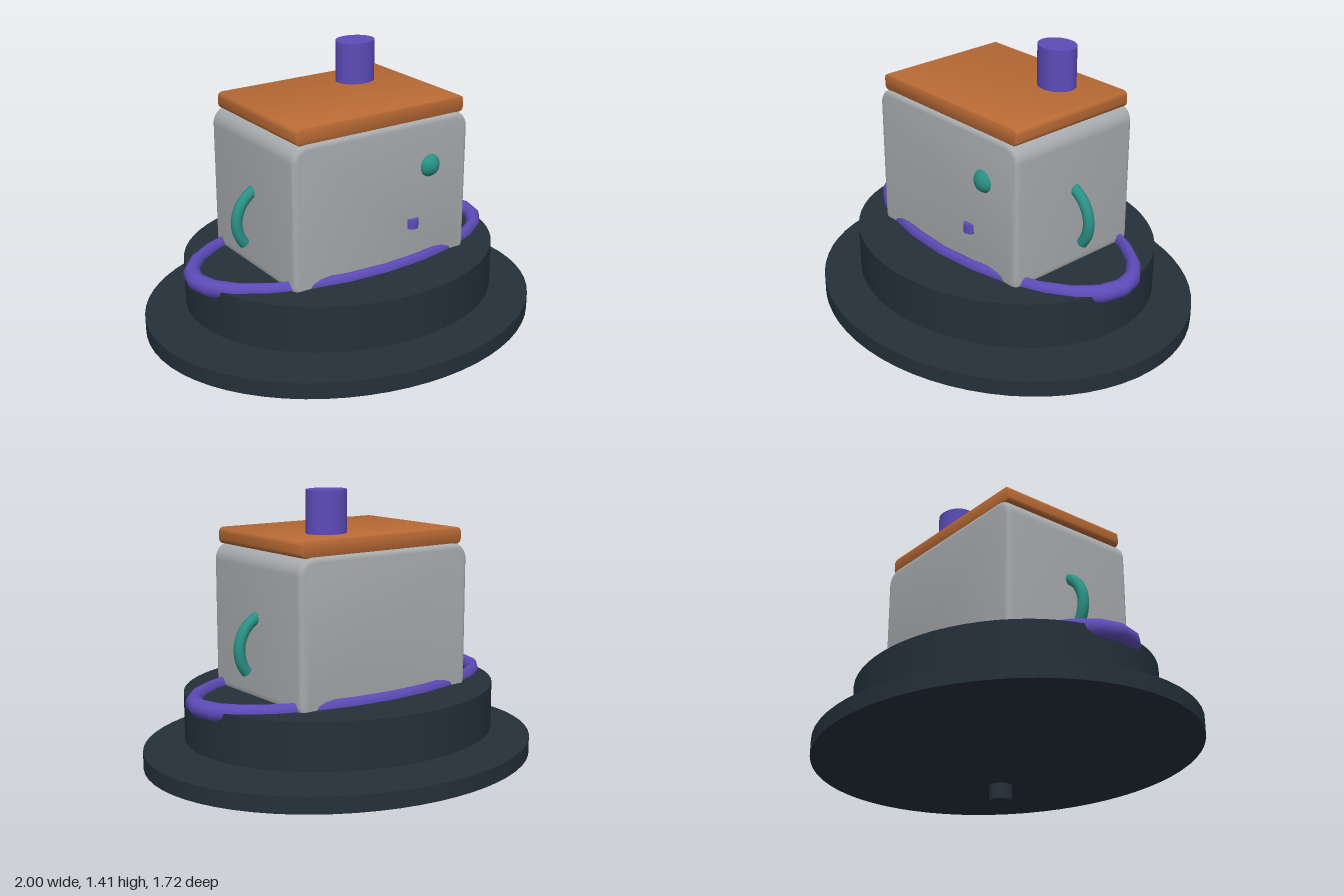
import * as THREE from 'three';
import { toCreasedNormals } from 'three/addons/utils/BufferGeometryUtils.js';

const material = (name, color) => {
  const m = new THREE.MeshStandardMaterial({ color });
  m.name = name;
  return m;
};

// Rounded slab extruded along z, with bevelled front and back edges
function slab(w, h, d, radius, bevel) {
  const x = w / 2 - bevel, y = h / 2 - bevel, r = Math.max(radius - bevel, 0.005);
  const s = new THREE.Shape();
  s.moveTo(-x + r, -y);
  s.absarc(x - r, -y + r, r, -Math.PI / 2, 0);
  s.absarc(x - r, y - r, r, 0, Math.PI / 2);
  s.absarc(-x + r, y - r, r, Math.PI / 2, Math.PI);
  s.absarc(-x + r, -y + r, r, Math.PI, Math.PI * 1.5);
  const g = new THREE.ExtrudeGeometry(s, {
    depth: d - 2 * bevel, bevelEnabled: true, bevelSize: bevel,
    bevelThickness: bevel, bevelSegments: 4, curveSegments: 8,
  });
  g.translate(0, 0, -d / 2 + bevel);
  return toCreasedNormals(g, 0.6);
}

export function createModel() {
  const dark = material('dark slate', 0x24303a);
  const grey = material('light grey', 0xa8abae);
  const orange = material('burnt orange', 0xb96a35);
  const purple = material('violet', 0x5d4bb8);
  const teal = material('teal', 0x2a9184);

  const model = new THREE.Group();
  model.name = 'house';
  const add = (name, geometry, mat, x, y, z) => {
    const mesh = new THREE.Mesh(geometry, mat);
    mesh.name = name;
    mesh.position.set(x, y, z);
    model.add(mesh);
    return mesh;
  };
  // Upright cylinder between two heights, oval when rz differs from rx
  const drum = (name, mat, rx, rz, y0, y1, x = 0, z = 0, sides = 64) => {
    const g = new THREE.CylinderGeometry(rx, rx, y1 - y0, sides);
    g.scale(1, 1, rz / rx);
    return add(name, g, mat, x, (y0 + y1) / 2, z);
  };

  // Base: two oval discs and a post
  drum('lowerDisc', dark, 1, 0.86, 0.08, 0.16);
  drum('upperDisc', dark, 0.793, 0.683, 0.207, 0.435);
  drum('post', dark, 0.059, 0.059, 0, 0.25, 0.355, 0.265, 24);

  // Body, roof and chimney
  add('body', slab(0.985, 0.75, 0.735, 0.08, 0.025), grey, -0.003, 0.755, 0);
  add('roof', slab(0.94, 0.08, 0.7, 0.025, 0.006), orange, 0, 1.165, 0.002);
  drum('chimney', purple, 0.1, 0.086, 1.15, 1.407, 0.195, -0.155, 32);

  // Oval hoop around the base of the body
  const hoop = new THREE.TorusGeometry(0.8, 0.043, 12, 24);
  hoop.rotateX(Math.PI / 2);
  hoop.scale(1, 1, 0.5);
  add('hoop', hoop, purple, -0.002, 0.43, 0);

  // Curved side handles
  const handle = (name, side) => {
    const start = THREE.MathUtils.degToRad(-40);
    const arc = new THREE.TorusGeometry(0.164, 0.027, 12, 24, Math.PI);
    arc.rotateZ(start);
    if (side < 0) arc.rotateY(Math.PI);
    add(name, arc, teal, side * 0.417, 0.668, 0);

    // Closed lower tip
    const cap = new THREE.CircleGeometry(0.027, 12);
    cap.rotateX(Math.PI / 2);
    cap.rotateZ(start);
    cap.translate(0.164 * Math.cos(start), 0.164 * Math.sin(start), 0);
    if (side < 0) cap.rotateY(Math.PI);
    add(name + 'Tip', cap, teal, side * 0.417, 0.668, 0);
  };
  handle('leftHandle', 1);
  handle('rightHandle', -1);

  // Front knob and small peg
  const knob = new THREE.SphereGeometry(0.058, 24, 16);
  knob.scale(1, 1, 0.86);
  add('knob', knob, teal, 0.265, 0.898, 0.353);
  drum('peg', purple, 0.03, 0.026, 0.602, 0.648, 0.168, 0.368, 16);

  return model;
}
